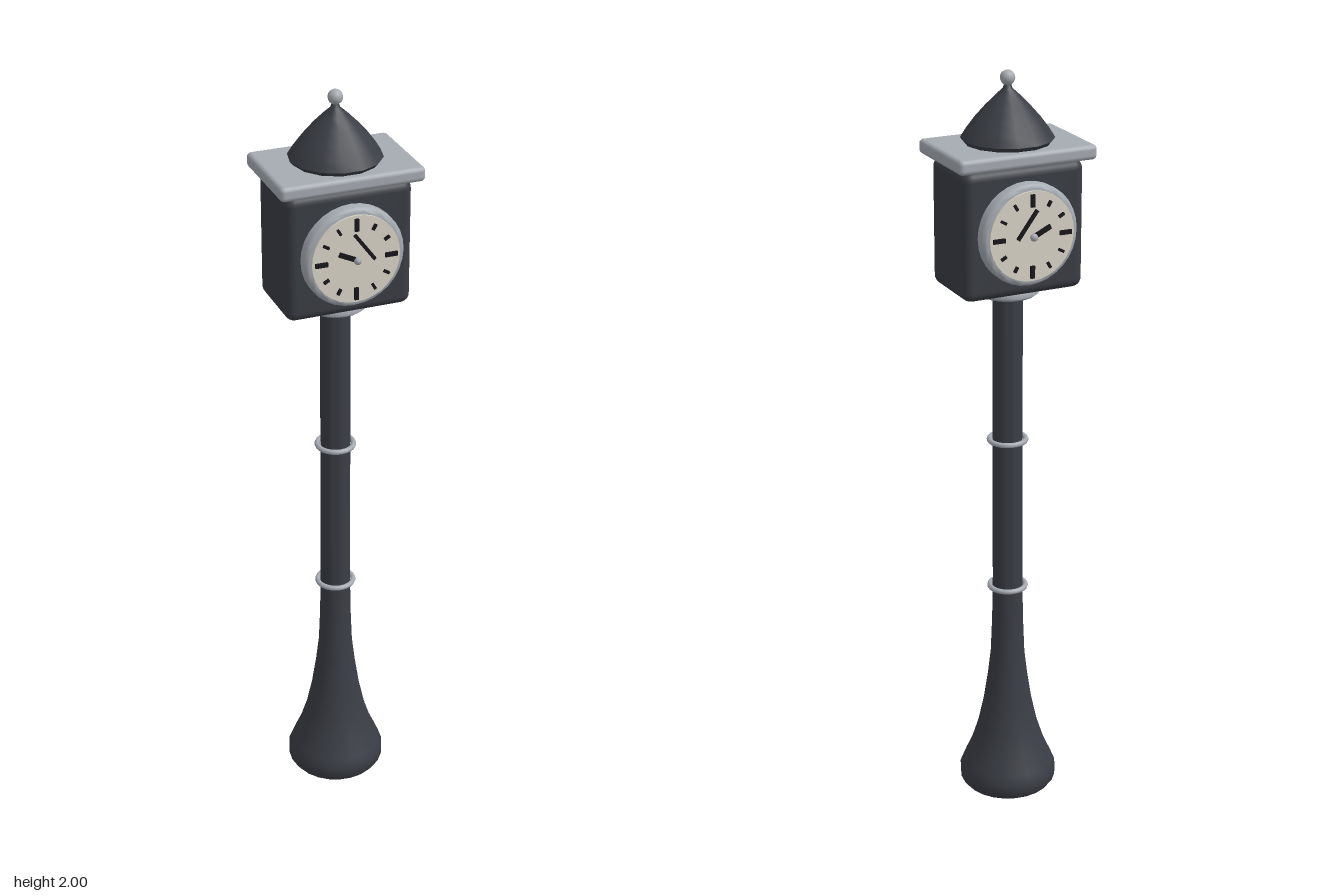
import * as THREE from 'three';
import { RoundedBoxGeometry } from 'three/addons/geometries/RoundedBoxGeometry.js';
import { toCreasedNormals } from 'three/addons/utils/BufferGeometryUtils.js';

const mat = (color) => new THREE.MeshStandardMaterial({ color });
const iron = mat(0x3a3d44), silver = mat(0xa6abb2), cream = mat(0xd9d4c6), black = mat(0x17171a);

// Revolved profile of [radius, height] pairs
function lathe(points, segments, crease = 0.7) {
  const geo = new THREE.LatheGeometry(points.map(([r, y]) => new THREE.Vector2(r, y)), segments);
  return toCreasedNormals(geo, crease);
}

function add(parent, name, geo, material, x = 0, y = 0, z = 0) {
  const mesh = new THREE.Mesh(geo, material);
  mesh.name = name;
  mesh.position.set(x, y, z);
  parent.add(mesh);
  return mesh;
}

// Dial built around the clock centre; side is +1 for the front, -1 for the mirrored back
function createDial(side) {
  const dial = new THREE.Group();
  dial.name = side > 0 ? 'frontDial' : 'backDial';
  dial.position.y = 1.615;

  const bezel = add(dial, 'bezel', lathe(
    [[0.131, 0.09], [0.131, 0.124], [0.127, 0.131], [0.12, 0.135], [0.113, 0.135]], 32), silver);
  const face = add(dial, 'face', new THREE.CylinderGeometry(0.115, 0.115, 0.04, 32), cream, 0, 0, side * 0.12);
  bezel.rotation.x = face.rotation.x = side * Math.PI / 2;

  // Hour marks, longer at the quarters
  for (let i = 0; i < 12; i++) {
    const a = i * Math.PI / 6, major = i % 3 === 0;
    const size = major ? [0.011, 0.032] : [0.007, 0.016];
    const mark = add(dial, 'hourMark', new THREE.BoxGeometry(...size, 0.008), black,
      0.091 * Math.sin(a), 0.091 * Math.cos(a), side * 0.142);
    mark.rotation.z = -a;
  }

  // Hands and centre pin
  const hour = add(dial, 'hourHand', new THREE.BoxGeometry(0.012, 0.052, 0.006), black, -0.023, 0.011, side * 0.147);
  hour.rotation.z = 1.13;
  const minute = add(dial, 'minuteHand', new THREE.BoxGeometry(0.009, 0.088, 0.006), black, 0.018, 0.034, side * 0.151);
  minute.rotation.z = 0.64;
  add(dial, 'centrePin', new THREE.SphereGeometry(0.01, 10, 8), silver, 0, 0, side * 0.15);
  return dial;
}

export function createModel() {
  const clock = new THREE.Group();
  clock.name = 'postClock';

  // Flared foot running up into a slim column
  add(clock, 'post', lathe([
    [0, 0], [0.12, 0], [0.131, 0.015], [0.132, 0.045], [0.122, 0.07], [0.1, 0.12], [0.081, 0.18],
    [0.066, 0.25], [0.054, 0.33], [0.046, 0.4], [0.042, 0.5], [0.04, 0.62], [0.039, 1.44],
  ], 24), iron);

  // Rings on the column and collar under the case
  for (const y of [0.6, 1.025]) {
    add(clock, 'columnRing', new THREE.TorusGeometry(0.048, 0.007, 8, 24), silver, 0, y, 0).rotation.x = Math.PI / 2;
  }
  add(clock, 'collar', lathe([
    [0, 1.427], [0.072, 1.427], [0.08, 1.433], [0.081, 1.442], [0.076, 1.452], [0, 1.454],
  ], 24), silver);

  // Clock case with a dial on each broad side
  add(clock, 'case', new RoundedBoxGeometry(0.33, 0.332, 0.206, 3, 0.025), iron, 0, 1.615, 0);
  clock.add(createDial(1), createDial(-1));

  // Cornice, bell roof and finial
  add(clock, 'cornice', new RoundedBoxGeometry(0.374, 0.038, 0.254, 2, 0.012), silver, 0, 1.802, 0);
  add(clock, 'caseNeck', new THREE.BoxGeometry(0.28, 0.02, 0.16), iron, 0, 1.78, 0);
  const roof = add(clock, 'roof', lathe([
    [0, 1.818], [0.106, 1.818], [0.118, 1.832], [0.103, 1.856], [0.082, 1.884], [0.057, 1.912],
    [0.032, 1.937], [0.012, 1.955], [0.007, 1.97], [0, 1.97],
  ], 14), iron);
  roof.rotation.y = Math.PI / 2;
  add(clock, 'finial', new THREE.SphereGeometry(0.019, 12, 10), silver, 0, 1.981, 0);

  return clock;
}
